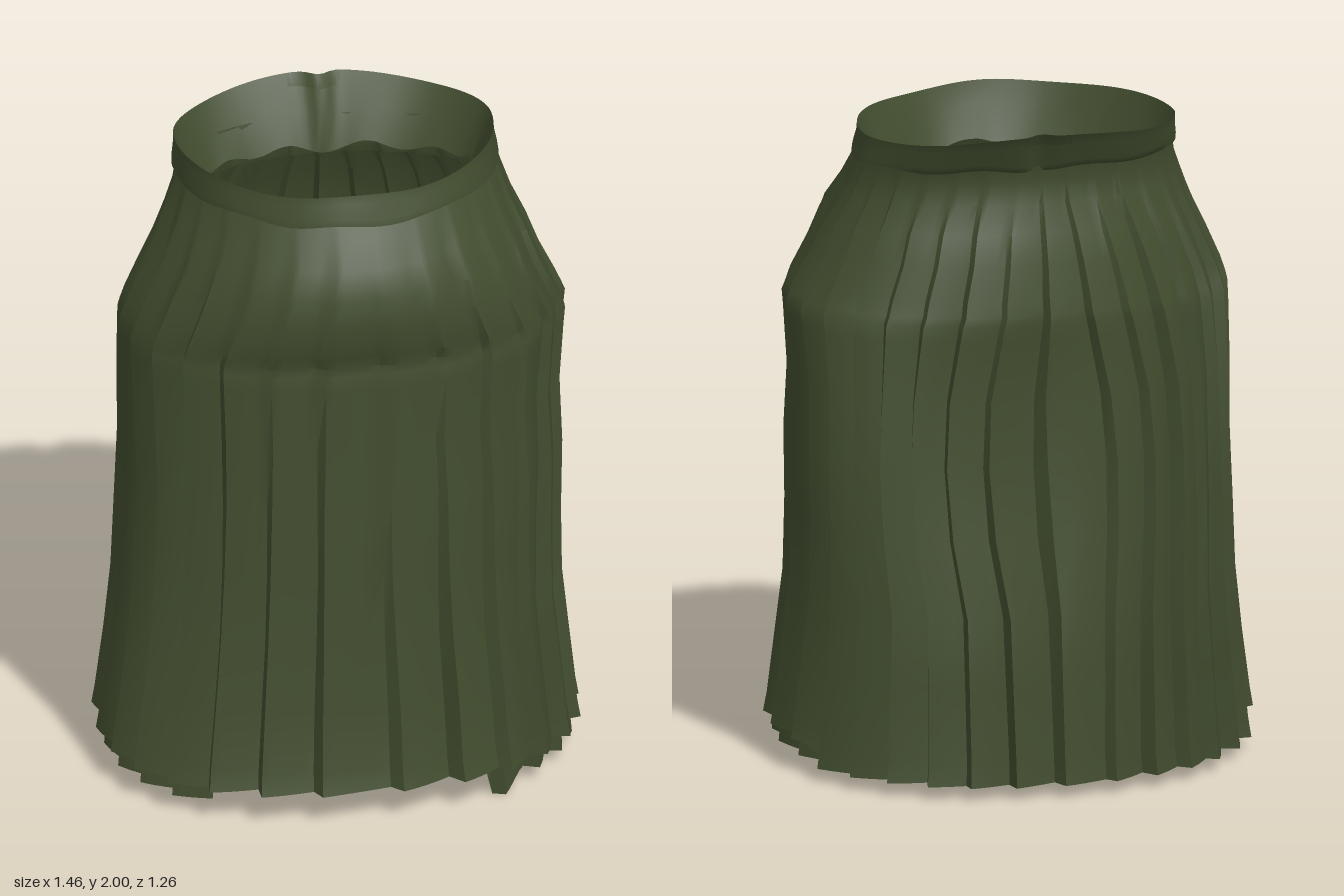
import * as THREE from 'three';
import { toCreasedNormals } from 'three/addons/utils/BufferGeometryUtils.js';

const PLEATS = 29;
const STEPS = [0, 0.25, 0.5, 0.7, 0.86]; // sample positions across one pleat
const PEAK = STEPS[STEPS.length - 1];
const TAU = Math.PI * 2;
const smooth = THREE.MathUtils.smoothstep;

// Cross-sections: [y, left extent (-x), right extent (+x), front z, back z, centre z, pleat depth,
// front roundness, back roundness] (2 is an ellipse, more is boxier)
const SKIRT = [
  [0.10, 0.73, 0.73, 0.63, -0.635, 0.05, 0.052, 2.35, 2.2],
  [0.16, 0.72, 0.72, 0.61, -0.625, 0.05, 0.050, 2.35, 2.2],
  [0.35, 0.69, 0.70, 0.585, -0.61, 0.04, 0.048, 2.35, 2.3],
  [0.55, 0.665, 0.68, 0.56, -0.59, 0.03, 0.045, 2.3, 2.4],
  [0.78, 0.65, 0.68, 0.54, -0.535, 0.02, 0.042, 2.25, 2.7],
  [1.00, 0.64, 0.685, 0.52, -0.51, 0.02, 0.040, 2.25, 2.8],
  [1.20, 0.645, 0.68, 0.50, -0.485, 0.01, 0.038, 2.2, 2.65],
  [1.38, 0.65, 0.695, 0.49, -0.48, 0.00, 0.035, 2.2, 2.25],
  [1.43, 0.65, 0.70, 0.485, -0.48, 0.00, 0.033, 2.2, 2.15],
  [1.455, 0.645, 0.69, 0.478, -0.475, 0.00, 0.031, 2.2, 2.1],
  [1.50, 0.63, 0.67, 0.503, -0.46, 0.00, 0.028, 2.2, 2.1],
  [1.60, 0.585, 0.62, 0.508, -0.435, -0.01, 0.023, 2.1, 2.05],
  [1.69, 0.54, 0.585, 0.503, -0.40, -0.03, 0.018, 2.1, 2],
  [1.77, 0.505, 0.545, 0.46, -0.36, -0.06, 0.011, 2, 1.9],
  [1.84, 0.475, 0.52, 0.405, -0.345, -0.09, 0.005, 2, 1.85],
  [1.89, 0.46, 0.505, 0.365, -0.355, -0.11, 0.001, 2, 1.95],
];
// Inner layer: follows the skirt a little further in, up to the hips
const UNDERLAYER = SKIRT.slice(0, 14).map(([y, left, right, front, back, ...rest], i) => [
  i ? y : 0.045, left - 0.025, right - 0.025, front - 0.035, back + 0.02, ...rest]);
const RIM = [1.965, 0.463, 0.502, 0.352, -0.43, -0.12, 0, 2, 2];
const WAISTBAND = [
  [1.875, 0.455, 0.50, 0.365, -0.35, -0.11, 0, 2, 1.95],
  [1.880, 0.470, 0.515, 0.385, -0.37, -0.11, 0, 2, 1.95],
  [1.900, 0.470, 0.512, 0.380, -0.385, -0.11, 0, 2, 2],
  [1.940, 0.463, 0.503, 0.360, -0.405, -0.12, 0, 2, 2],
  RIM,
];
const LINING = [
  RIM,
  [1.90, 0.440, 0.480, 0.330, -0.36, -0.12, 0, 1.9, 2],
  [1.80, 0.405, 0.450, 0.275, -0.310, -0.12, 0, 1.78, 2],
];

// Point on a pleated egg-shaped ring; each pleat rises slowly, then drops sharply
function ringPoint([y, left, right, front, back, zc, depth, roundFront, roundBack], pleat, t) {
  const sway = 0.25 * Math.sin(y * 4 + pleat * 0.7) * smooth(y, 0.2, 0.8);
  const turn = ((pleat + t + sway * t * (1 - t)) / PLEATS) * TAU;
  const a = turn - 0.15 * Math.cos(turn); // wider pleats on the front
  const c = Math.cos(a), s = Math.sin(a);
  const vary = 0.85 + 0.2 * Math.sin(pleat * 2.3 + y * 1.5);
  const calm = 1 - 0.45 * Math.max(s, 0) * smooth(y, 0.3, 1.2); // flatter pleats on the front
  const push = depth * vary * calm * (t / PEAK - 1);
  const e = 2 / (s > 0 ? roundFront : roundBack);
  const x = Math.sign(c) * Math.abs(c) ** e * (c > 0 ? right : left) + c * push;
  const z = zc + Math.sign(s) * Math.abs(s) ** e * (s > 0 ? front - zc : zc - back) + s * push;
  return new THREE.Vector3(x, y, z);
}

// Joins the rings all around, adjusting each point by a rule
function loft(rows, adjust) {
  const columns = [];
  for (let p = 0; p < PLEATS; p++) for (const t of STEPS) columns.push([p, t]);
  const position = [], index = [], n = columns.length;
  for (const row of rows) {
    for (const [p, t] of columns) position.push(...adjust(ringPoint(row, p, t), p + t).toArray());
  }
  for (let i = 0; i < rows.length - 1; i++) {
    for (let j = 0; j < n; j++) {
      const a = i * n + j, b = i * n + (j + 1) % n;
      index.push(a, a + n, b, a + n, b + n, b);
    }
  }
  const geometry = new THREE.BufferGeometry();
  geometry.setAttribute('position', new THREE.Float32BufferAttribute(position, 3));
  geometry.setIndex(index);
  return toCreasedNormals(geometry, 0.8);
}

// Back of the hem hangs lower than the front
function hangHem(v) {
  v.y -= 0.06 * smooth(-v.z, 0.12, 0.22) * (1 - smooth(v.y, 0.1, 0.5));
  return v;
}

// Waist edge rises at the back, with a small notch behind and a wavy outline
function shapeWaist(v) {
  const back = smooth(-v.z, 0.2, 0.43);
  const upper = smooth(v.y, 1.89, 1.965);
  const wave = v.x * 9;
  v.y += upper * (0.035 * back * Math.exp(-v.x * v.x * 8) + 0.005 * Math.cos(wave * 1.5) * (1 - back));
  v.y += (1 - upper) * 0.006 * Math.sin(wave * 2.2 + v.z * 7);
  if (v.z < -0.2) v.z += 0.03 * smooth(v.y, 1.8, 1.9) * Math.exp(-(((v.x - 0.03) / 0.035) ** 2));
  return v;
}

// Ragged lower edge of the lining
function shapeLining(v, u) {
  shapeWaist(v);
  if (v.y < 1.85) v.y += 0.012 * Math.sin(u * 2.2);
  return v;
}

// Inner hem tucks up behind the front and ends in a drooping corner at the front left
const CORNER = 5, TUCK_END = 10;
function tuckFront(v, u) {
  if (v.y < 0.1) {
    if (u > CORNER && u < TUCK_END) v.y += 0.07;
    else v.y -= 0.045 * smooth(u, CORNER - 0.8, CORNER) * (u <= CORNER ? 1 : 0);
  }
  return v;
}

export function createModel() {
  const cloth = new THREE.MeshStandardMaterial({ color: 0x414c2e });
  cloth.name = 'olive green cloth';
  cloth.side = THREE.DoubleSide;

  const group = new THREE.Group();
  group.name = 'pleatedSkirt';
  const add = (name, geometry) => {
    const mesh = new THREE.Mesh(geometry, cloth);
    mesh.name = name;
    group.add(mesh);
  };
  add('pleatedShell', loft(SKIRT, hangHem));
  add('waistband', loft(WAISTBAND, shapeWaist));
  add('waistLining', loft(LINING, shapeLining));
  add('underlayer', loft(UNDERLAYER, tuckFront));
  return group;
}
